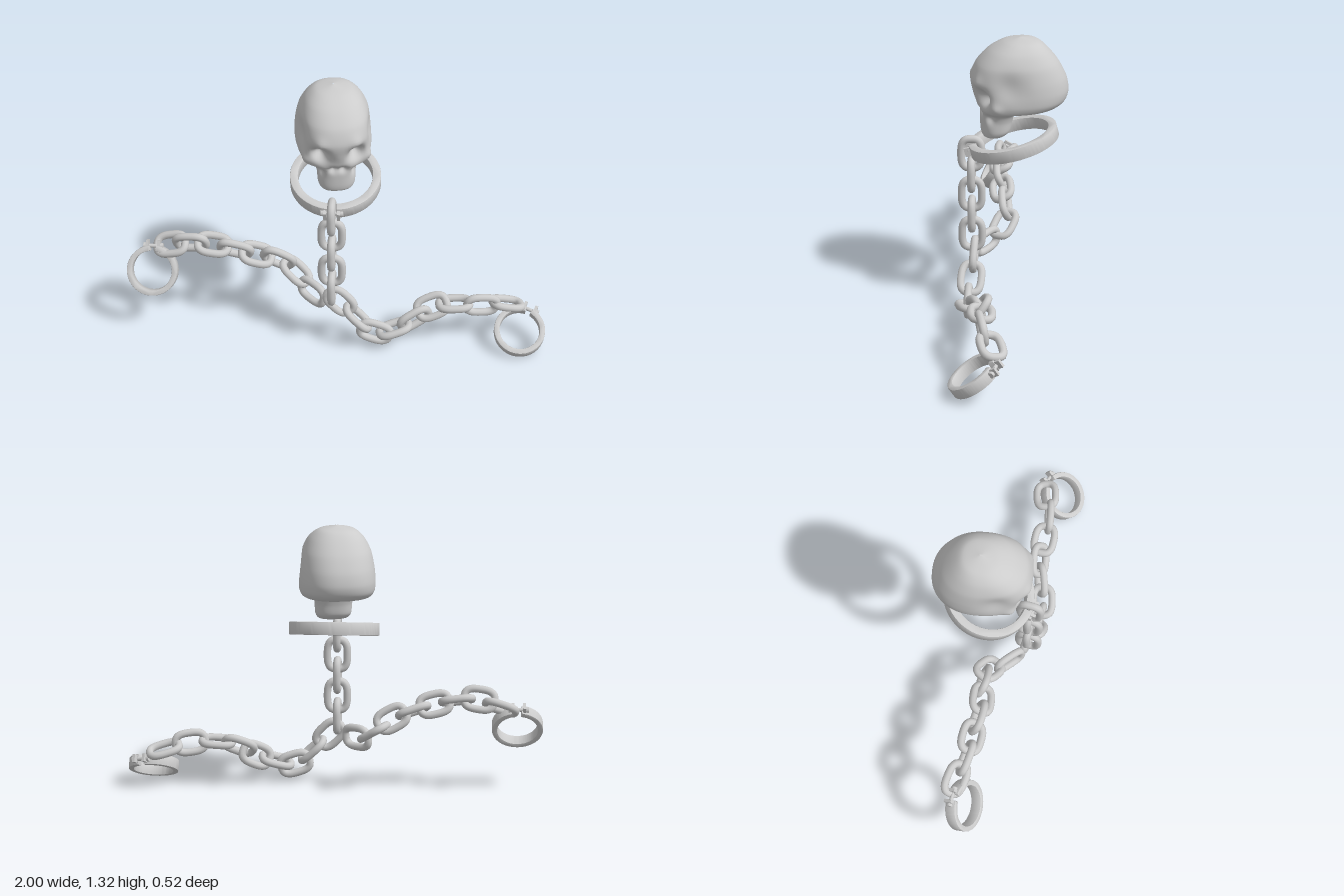
import * as THREE from 'three';
import { toCreasedNormals } from 'three/addons/utils/BufferGeometryUtils.js';

const mat = new THREE.MeshStandardMaterial({ color: 0xcccccc });
const V = (x, y, z) => new THREE.Vector3(x, y, z);

function mesh(geo, name, parent) {
  const m = new THREE.Mesh(geo, mat);
  m.name = name;
  parent.add(m);
  return m;
}

// ---------- skull: horizontal cross-sections, then soft dents and bumps ----------
// rows: height, front z, back z, half width
const ROWS = [
  [0.868, 0.095, 0.085, 0.002], [0.874, 0.135, 0.045, 0.065], [0.90, 0.145, 0.012, 0.084],
  [0.95, 0.148, 0.0, 0.088], [0.985, 0.15, -0.015, 0.1], [1.005, 0.155, -0.06, 0.13],
  [1.015, 0.16, -0.195, 0.158], [1.045, 0.168, -0.243, 0.172], [1.09, 0.182, -0.258, 0.175],
  [1.15, 0.19, -0.248, 0.171], [1.22, 0.165, -0.213, 0.157], [1.28, 0.108, -0.165, 0.125],
  [1.318, 0.04, -0.12, 0.08], [1.336, -0.035, -0.045, 0.002],
];
// centre, radius, push (mirrored over x when x is not 0)
const SCULPT = [
  [V(0.08, 1.085, 0.155), 0.036, V(-0.012, 0, -0.07)],    // eye socket
  [V(0.022, 1.0, 0.155), 0.018, V(0, 0, -0.022)],         // nostril
  [V(0.165, 1.14, 0.04), 0.065, V(-0.022, 0, 0)],         // temple
  [V(0.14, 1.035, 0.1), 0.03, V(0.014, 0, 0.008)],        // cheekbone
  [V(0.09, 0.975, 0.12), 0.025, V(-0.018, 0, -0.01)],     // hollow under the cheek
  [V(0.08, 1.15, 0.17), 0.03, V(0.004, 0, 0.01)],         // brow
];

function skullGeometry() {
  const rings = 72, seg = 80, pos = [], idx = [];
  const profile = new THREE.CatmullRomCurve3(ROWS.map(r => V(r[0], r[1], r[2])), false, 'catmullrom', 0.4);
  const width = new THREE.CatmullRomCurve3(ROWS.map(r => V(r[3], 0, 0)), false, 'catmullrom', 0.4);
  const round = c => Math.sign(c) * Math.abs(c) ** 0.85;
  for (let i = 0; i <= rings; i++) {
    const p = profile.getPoint(i / rings), w = width.getPoint(i / rings).x;
    for (let j = 0; j < seg; j++) {
      const a = (j / seg) * Math.PI * 2;
      const v = V(w * round(Math.cos(a)), p.x, (p.y + p.z) / 2 + (p.y - p.z) / 2 * round(Math.sin(a)));
      const moved = v.clone();
      for (const [c, r, push] of SCULPT) for (const s of [1, -1]) {
        const d = v.distanceTo(V(c.x * s, c.y, c.z)) / r;
        moved.add(V(push.x * s, push.y, push.z).multiplyScalar(Math.exp(-d * d)));
      }
      pos.push(moved.x, moved.y, moved.z);
      if (i < rings) {
        const k = (j + 1) % seg, o = i * seg, u = o + seg;
        idx.push(o + j, u + j, u + k, o + j, u + k, o + k);
      }
    }
  }
  const g = new THREE.BufferGeometry();
  g.setAttribute('position', new THREE.Float32BufferAttribute(pos, 3));
  g.setIndex(idx);
  g.computeVertexNormals();
  return g;
}

// ---------- chain ----------
function linkGeometry() {
  const pts = [];
  for (let i = 0; i < 24; i++) {
    const a = (i / 24) * Math.PI * 2, c = Math.cos(a), s = Math.sin(a);
    const sq = k => Math.sign(k) * Math.abs(k) ** 0.68;
    pts.push(V(0.0725 * sq(c), 0.048 * sq(s), 0));
  }
  return new THREE.TubeGeometry(new THREE.CatmullRomCurve3(pts, true), 40, 0.0185, 10, true);
}

// links: [x, y, z, roll in degrees]; roll 0 shows the link's open face to the front
function chain(name, geo, start, links, end) {
  const g = new THREE.Group();
  g.name = name;
  const c = [start, ...links.map(l => V(l[0], l[1], l[2])), end];
  links.forEach((l, i) => {
    const t = c[i + 2].clone().sub(c[i]).normalize();
    const side = V(0, 0, 1).cross(t).normalize().applyAxisAngle(t, THREE.MathUtils.degToRad(l[3]));
    const link = mesh(geo, 'chainLink', g);
    link.position.copy(c[i + 1]);
    link.quaternion.setFromRotationMatrix(new THREE.Matrix4().makeBasis(t, side, t.clone().cross(side)));
  });
  return g;
}

// ---------- open band with two ears and a pin; gap points along local +y ----------
function shackle(name, rOut, rIn, height, gap, centre, axis, gapDir) {
  const g = new THREE.Group();
  g.name = name;
  const b = 0.005, ro = rOut - b, ri = rIn + b;
  const half = Math.asin(gap / 2 / rOut), a0 = Math.PI / 2 + half, a1 = Math.PI * 2.5 - half;
  const s = new THREE.Shape();
  s.absarc(0, 0, ro, a0, a1, false);
  s.absarc(0, 0, ri, a1, a0, true);
  const band = new THREE.ExtrudeGeometry(s, {
    depth: height - 2 * b, bevelSize: b, bevelThickness: b, bevelSegments: 2, curveSegments: 64,
  });
  band.translate(0, 0, b - height / 2);
  mesh(toCreasedNormals(band, 0.6), 'band', g);
  const pinY = rOut - 0.004;
  for (const sx of [1, -1]) {
    const ear = mesh(new THREE.BoxGeometry(0.014, 0.05, height * 0.7), 'ear', g);
    ear.position.set(sx * (gap / 2 + 0.006), rOut - 0.002, 0);
    const cap = mesh(new THREE.CylinderGeometry(0.015, 0.015, 0.014, 16), 'pinHead', g);
    cap.rotation.z = Math.PI / 2;
    cap.position.set(sx * (gap / 2 + 0.019), pinY, 0);
  }
  const pin = mesh(new THREE.CylinderGeometry(0.009, 0.009, gap + 0.03, 12), 'pin', g);
  pin.rotation.z = Math.PI / 2;
  pin.position.y = pinY;
  const z = axis.clone().normalize();
  const y = gapDir.clone().addScaledVector(z, -gapDir.dot(z)).normalize();
  g.quaternion.setFromRotationMatrix(new THREE.Matrix4().makeBasis(y.clone().cross(z), y, z));
  g.position.copy(centre);
  return g;
}

export function createModel() {
  const model = new THREE.Group();
  model.name = 'skullWithShackles';

  const skull = mesh(skullGeometry(), 'skull', model);
  skull.position.x = -0.02;
  skull.rotation.y = 0.2;

  // neck collar and the two wrist shackles
  model.add(shackle('collar', 0.21, 0.172, 0.06, 0.05, V(-0.015, 0.842, -0.007), V(0, 0.97, 0.25), V(0, -0.25, 0.97)));
  model.add(shackle('rightShackle', 0.121, 0.095, 0.055, 0.042, V(-0.88, 0.345, 0.115), V(0, 0.5, 0.87), V(0, 0.87, -0.5)));
  model.add(shackle('leftShackle', 0.121, 0.095, 0.055, 0.042, V(0.877, 0.102, 0.138), V(0, 0.83, 0.55), V(0.05, 0.07, -0.1)));

  const link = linkGeometry();
  const drop = [];
  for (let i = 0; i < 5; i++) drop.push([-0.017, 0.767 - 0.1027 * i, 0.19, i % 2 ? 0 : 90]);
  model.add(chain('neckChain', link, V(-0.017, 0.87, 0.19), drop, V(-0.017, 0.25, 0.19)));

  model.add(chain('rightChain', link, V(-0.02, 0.3, 0.19), [
    [-0.115, 0.27, 0.125, 0], [-0.2, 0.325, 0.045, 75], [-0.285, 0.395, 0.04, -20],
    [-0.385, 0.43, 0.062, 65], [-0.485, 0.462, 0.07, -25], [-0.59, 0.483, 0.07, 65],
    [-0.695, 0.49, 0.072, -20], [-0.795, 0.458, 0.052, 55],
  ], V(-0.88, 0.44, 0.05)));

  model.add(chain('leftChain', link, V(-0.02, 0.31, 0.18), [
    [0.02, 0.265, 0.18, 0], [0.105, 0.18, 0.19, 85], [0.19, 0.105, 0.2, 0],
    [0.28, 0.122, 0.19, 85], [0.375, 0.16, 0.155, 25], [0.455, 0.215, 0.125, -35],
    [0.56, 0.236, 0.12, 85], [0.69, 0.23, 0.112, 5], [0.81, 0.21, 0.065, 75],
  ], V(0.92, 0.17, 0.05)));

  return model;
}
